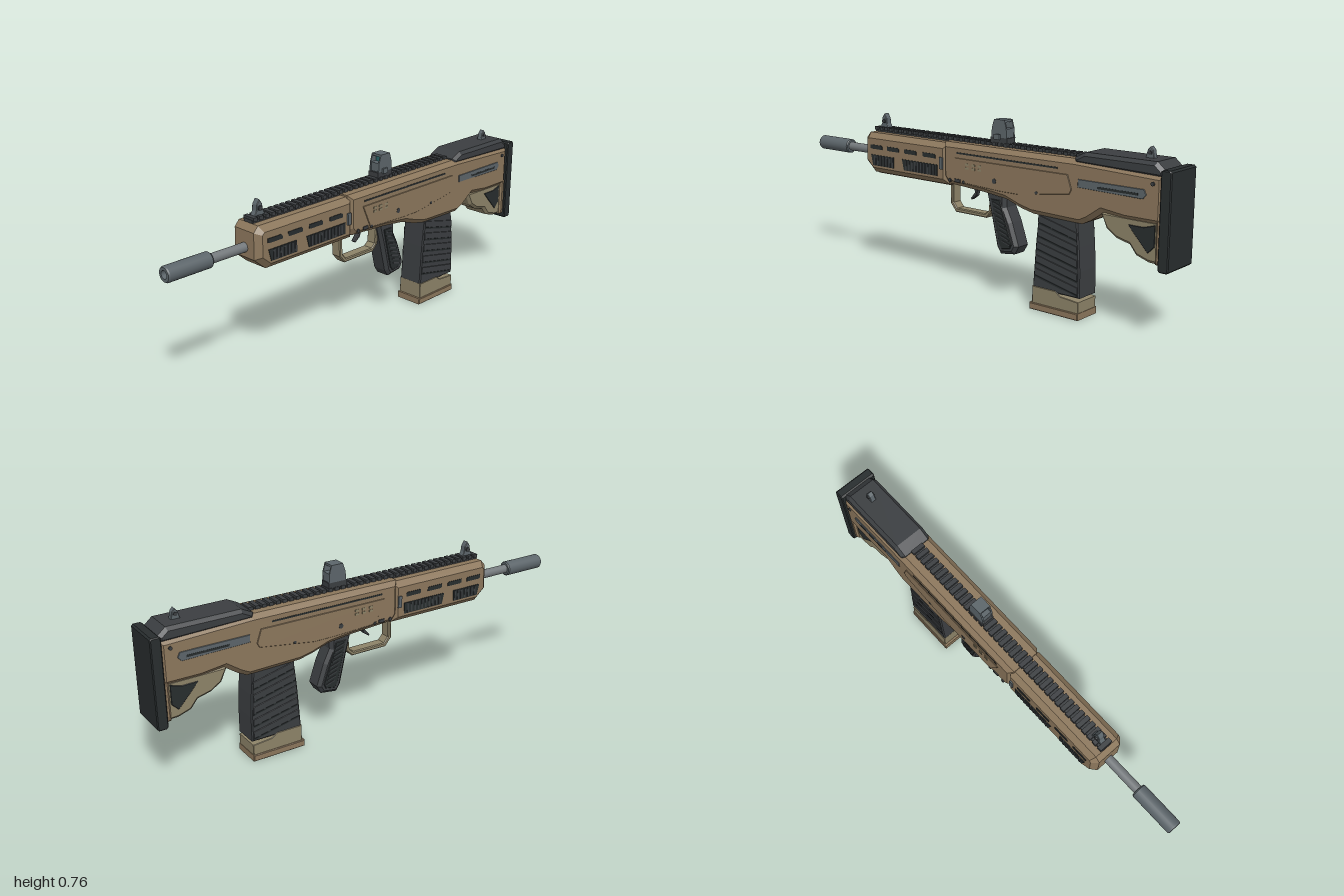
import * as THREE from 'three';

const mat = (color, side = THREE.FrontSide) => new THREE.MeshStandardMaterial({ color, flatShading: true, side });
const TAN = mat(0x8c775c), LIGHT = mat(0x8d8368), DARK = mat(0x3b3e41), BLACK = mat(0x282d2e);
const GREY = mat(0x5c656a), STEEL = mat(0x74797c), LENS = mat(0x2b6468);

export function createModel() {
  const root = new THREE.Group();
  const add = (name, geo, material, x = 0, y = 0, z = 0, parent = root) => {
    const m = new THREE.Mesh(geo, material);
    m.name = name;
    m.position.set(x, y, z);
    parent.add(m);
    return m;
  };
  const shapeOf = pts => new THREE.Shape(pts.map(p => new THREE.Vector2(...p)));
  // side profile extruded across z, with chamfered edges
  const slab = (name, pts, half, bevel, material, z = 0, hole) => {
    const shape = shapeOf(pts);
    if (hole) shape.holes.push(new THREE.Path(hole.map(p => new THREE.Vector2(...p))));
    const geo = new THREE.ExtrudeGeometry(shape, {
      depth: 2 * (half - bevel), bevelEnabled: bevel > 0, bevelThickness: bevel,
      bevelSize: bevel, bevelOffset: -bevel, bevelSegments: 1, curveSegments: 6 });
    geo.translate(0, 0, bevel - half);
    return add(name, geo, material, 0, 0, z);
  };
  const box = (name, x0, x1, y0, y1, half, material, z = 0) =>
    add(name, new THREE.BoxGeometry(x1 - x0, y1 - y0, 2 * half), material, (x0 + x1) / 2, (y0 + y1) / 2, z);
  const rod = (name, x, y, r, len, material, sides = 16) => {
    const m = add(name, new THREE.CylinderGeometry(r, r, len, sides), material, x, y, 0);
    m.rotation.x = Math.PI / 2;
    return m;
  };

  // barrel and hollow muzzle device
  const lathe = (name, pts, material) => {
    const m = add(name, new THREE.LatheGeometry(pts.map(p => new THREE.Vector2(...p)), 24), material, 0, 0.55, 0);
    m.rotation.z = -Math.PI / 2;
    m.material = material.clone();
    m.material.flatShading = false;
    m.material.side = THREE.DoubleSide;
  };
  lathe('barrel', [[0.02, -0.81], [0.02, -0.58]], STEEL);
  const c = [[0, -0.93], [0.017, -0.93], [0.017, -1], [0.029, -1], [0.033, -0.994], [0.033, -0.8], [0.029, -0.795], [0, -0.795]];
  lathe('muzzleDevice', c.flatMap(p => [p, p]), GREY);

  // handguard and main body
  slab('handguard', [[-0.625, 0.51], [-0.57, 0.462], [-0.1, 0.462], [-0.1, 0.645], [-0.6, 0.645], [-0.622, 0.62]], 0.08, 0.024, TAN);
  box('handguardUnderside', -0.56, -0.11, 0.457, 0.47, 0.045, TAN);
  slab('receiver', [[-0.125, 0.5], [-0.1, 0.47], [0.1, 0.458], [0.22, 0.445], [0.3, 0.418], [0.36, 0.405], [0.6, 0.4],
    [0.64, 0.42], [0.7, 0.462], [0.8, 0.45], [0.965, 0.45], [0.965, 0.64], [0.57, 0.655], [-0.125, 0.652]], 0.082, 0.02, TAN);

  // shoulder stock
  slab('lowerStock', [[0.68, 0.465], [0.71, 0.40], [0.755, 0.37], [0.815, 0.355], [0.845, 0.318], [0.9, 0.3], [0.965, 0.297], [0.965, 0.465]], 0.068, 0.012, LIGHT);
  slab('stockInsert', [[0.81, 0.435], [0.835, 0.405], [0.9, 0.335], [0.93, 0.365], [0.93, 0.45], [0.88, 0.435]], 0.07, 0.003, BLACK);
  slab('stockRearFrame', [[0.935, 0.3], [0.965, 0.297], [0.965, 0.48], [0.935, 0.48]], 0.078, 0.008, TAN);
  slab('buttPad', [[0.955, 0.285], [0.963, 0.278], [0.993, 0.278], [1, 0.285], [1, 0.655], [0.993, 0.662], [0.963, 0.662], [0.955, 0.655]], 0.09, 0.004, BLACK);
  slab('cheekRest', [[0.56, 0.635], [0.96, 0.625], [0.96, 0.655], [0.925, 0.685], [0.61, 0.685], [0.56, 0.66]], 0.076, 0.014, DARK);

  // top rail
  box('railBase', -0.6, 0.575, 0.64, 0.658, 0.024, DARK);
  for (let i = 0; i < 38; i++) {
    const x = -0.598 + i * 0.0308;
    box('railTooth', x, x + 0.02, 0.652, 0.668, 0.03, DARK);
  }

  // side details, the same on both flanks
  for (const s of [1, -1]) {
    const z = s * 0.08;
    for (const x of [-0.537, -0.43, -0.32, -0.205]) {
      slab('handguardSlot', [[x - 0.038, 0.576], [x - 0.031, 0.573], [x + 0.038, 0.573], [x + 0.038, 0.587], [x + 0.031, 0.592], [x - 0.038, 0.592]], 0.0025, 0, BLACK, z);
    }
    for (const [a, b] of [[-0.572, -0.425], [-0.372, -0.155]]) {
      slab('ventPanel', [[a + 0.012, 0.497], [b, 0.497], [b, 0.546], [a, 0.546]], 0.003, 0, BLACK, z);
      for (let x = a + 0.022; x < b - 0.008; x += 0.019) box('ventRib', x, x + 0.008, 0.5, 0.543, 0.0055, DARK, z);
    }
    box('handguardLatch', -0.141, -0.123, 0.53, 0.582, 0.006, GREY, z);
    slab('sidePlate', [[-0.05, 0.59], [-0.005, 0.487], [0.2, 0.478], [0.3, 0.478], [0.55, 0.515], [0.56, 0.535], [0.54, 0.592]], 0.003, 0.0015, TAN, s * 0.0825);
    box('bodyGroove', -0.04, 0.49, 0.608, 0.615, 0.002, BLACK, s * 0.0815);
    slab('ejectionCover', [[0.59, 0.548], [0.88, 0.543], [0.895, 0.56], [0.885, 0.58], [0.59, 0.58]], 0.004, 0.001, GREY, s * 0.082);
    box('ejectionSlot', 0.68, 0.86, 0.554, 0.563, 0.005, BLACK, s * 0.082);
    for (let i = 0; i < 6; i++) {
      box('plateStud', 0.012 + (i % 3) * 0.035, 0.03 + (i % 3) * 0.035, 0.548 + (i > 2) * 0.016, 0.557 + (i > 2) * 0.016, 0.002, LIGHT, s * 0.085);
    }
    box('selector', -0.05, -0.02, 0.485, 0.499, 0.006, DARK, z);
  }
  for (const [x, y, r] of [[0.17, 0.517, 0.011], [0, 0.49, 0.007], [0.39, 0.498, 0.007], [-0.08, 0.49, 0.008], [0.92, 0.605, 0.008]]) {
    rod('pin', x, y, r, 0.174, DARK, 10);
  }

  // trigger and guard
  slab('triggerGuard', [[-0.13, 0.47], [-0.13, 0.37], [-0.1, 0.335], [0.075, 0.335], [0.105, 0.365], [0.115, 0.47]], 0.025, 0.004, LIGHT, 0,
    [[-0.112, 0.475 - 0.015], [0.095, 0.46], [0.088, 0.37], [0.068, 0.353], [-0.092, 0.353], [-0.112, 0.377]]);
  slab('trigger', [[-0.015, 0.47], [0, 0.435], [-0.025, 0.405], [-0.02, 0.4], [0.008, 0.42], [0.02, 0.47]], 0.011, 0.002, DARK);

  // pistol grip
  slab('pistolGrip', [[0.085, 0.47], [0.115, 0.35], [0.145, 0.225], [0.165, 0.195], [0.24, 0.205], [0.26, 0.24],
    [0.225, 0.34], [0.195, 0.4], [0.195, 0.46]], 0.045, 0.014, DARK);
  slab('gripPanel', [[0.12, 0.43], [0.165, 0.24], [0.18, 0.22], [0.225, 0.228], [0.235, 0.25], [0.17, 0.43]], 0.0475, 0.003, BLACK);
  for (const s of [1, -1]) for (let i = 0; i < 9; i++) {
    const m = box('gripRib', -0.022, 0.022, -0.003, 0.003, 0.003, DARK, s * 0.047);
    m.position.set(0.152 + i * 0.0065, 0.41 - i * 0.02, s * 0.047);
    m.rotation.z = -0.3;
  }

  // magazine with slanted ribs
  slab('magazine', [[0.385, 0.43], [0.37, 0.28], [0.357, 0.09], [0.59, 0.09], [0.589, 0.2], [0.583, 0.3], [0.57, 0.43]], 0.06, 0.005, DARK);
  slab('magazineSleeve', [[0.357, 0.025], [0.588, 0.025], [0.588, 0.075], [0.5, 0.082], [0.475, 0.1], [0.357, 0.1]], 0.062, 0.002, LIGHT);
  slab('magazineBase', [[0.347, 0], [0.59, 0], [0.59, 0.029], [0.347, 0.029]], 0.068, 0.003, TAN);
  for (const s of [1, -1]) for (let i = 0; i < 5; i++) {
    const y = 0.15 + i * 0.056, x0 = 0.368 + i * 0.004, x1 = 0.583 - i * 0.002;
    slab('magazineRib', [[x0, y], [x1, y - 0.045], [x1, y - 0.015], [x0, y + 0.03]], 0.003, 0.001, DARK, s * 0.06);
    slab('magazineGroove', [[x0, y - 0.008], [x1, y - 0.053], [x1, y - 0.046], [x0, y - 0.001]], 0.001, 0, BLACK, s * 0.0605);
  }

  // reflex sight with a framed lens
  box('sightMount', 0.1, 0.19, 0.665, 0.69, 0.027, DARK);
  box('sightKnob', 0.125, 0.155, 0.682, 0.704, 0.006, GREY, 0.03);
  box('sightFloor', 0.11, 0.185, 0.688, 0.728, 0.025, GREY);
  box('sightRoof', 0.12, 0.175, 0.755, 0.765, 0.026, GREY);
  for (const s of [1, -1]) {
    slab('sightWall', [[0.105, 0.69], [0.188, 0.69], [0.185, 0.73], [0.175, 0.765], [0.12, 0.765], [0.108, 0.73]], 0.003, 0, GREY, s * 0.024);
  }
  box('sightLens', 0.14, 0.145, 0.725, 0.757, 0.022, LENS);

  // front and rear iron sights
  slab('frontSight', [[-0.58, 0.665], [-0.525, 0.665], [-0.535, 0.685], [-0.538, 0.71], [-0.552, 0.73], [-0.566, 0.71], [-0.568, 0.685]], 0.014, 0.002, GREY);
  rod('frontSightPin', -0.552, 0.695, 0.01, 0.04, DARK, 10);
  slab('rearSight', [[0.84, 0.68], [0.88, 0.68], [0.873, 0.715], [0.862, 0.728], [0.85, 0.715]], 0.012, 0.002, GREY);
  rod('rearSightPin', 0.861, 0.705, 0.008, 0.032, DARK, 10);
  return root;
}
